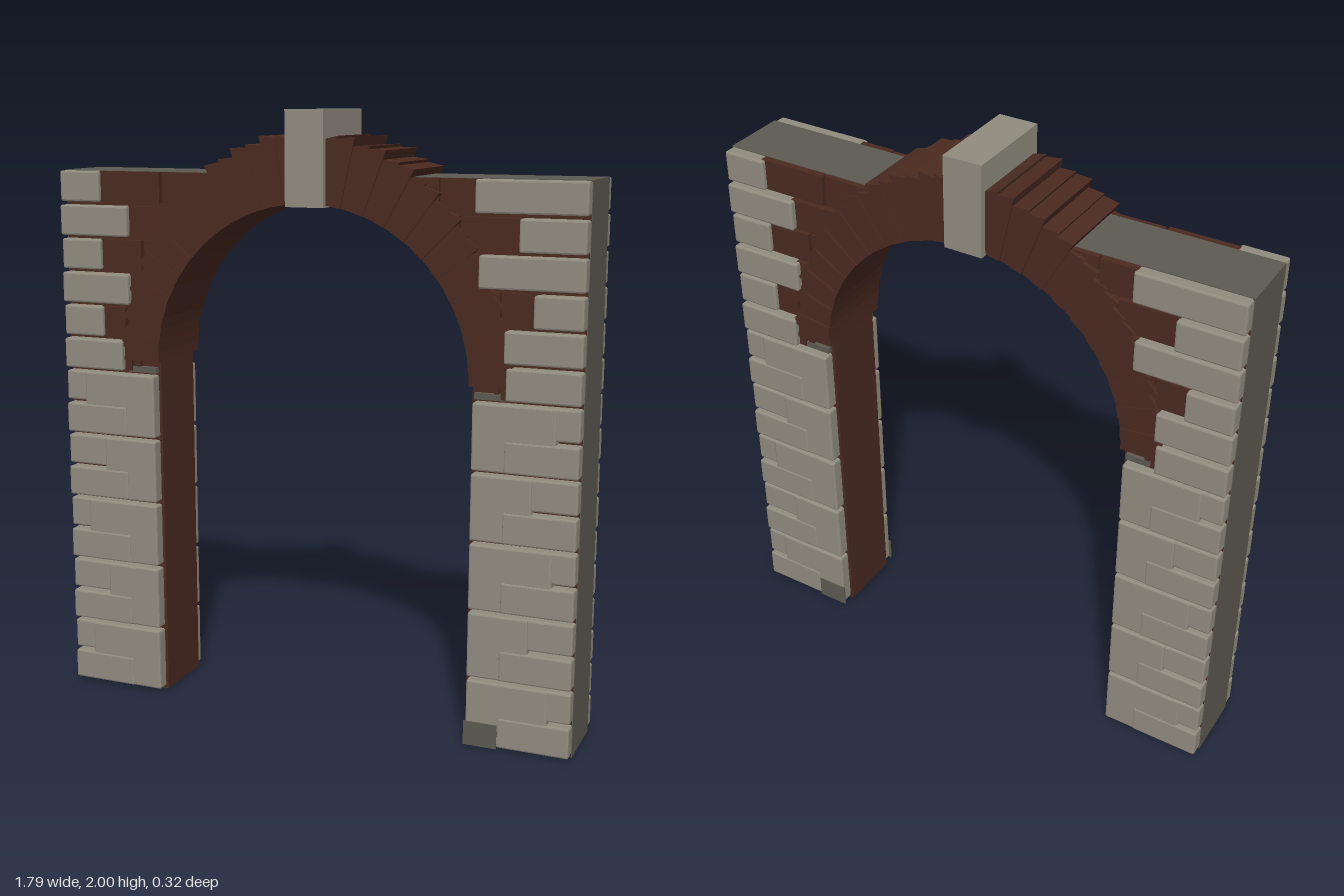
import * as THREE from 'three';
import { RoundedBoxGeometry } from 'three/addons/geometries/RoundedBoxGeometry.js';

const mat = (name, color) => Object.assign(new THREE.MeshStandardMaterial({ color, flatShading: true }), { name });

export function createModel() {
  const stone = mat('pale stone', 0x918c7f);
  const brick = mat('brown brick', 0x4a2a20);
  const core = mat('dark grey render', 0x5c5a50);

  const model = new THREE.Group();
  model.name = 'stoneArchway';

  const HALF = 0.895, TOP = 1.8, SPRING = 1.17, ROW = 0.1125;

  // Box given by its limits, optionally with worn edges
  function block(parent, name, material, x0, x1, y0, y1, z0, z1, edge = 0) {
    const size = [x1 - x0, y1 - y0, z1 - z0];
    const geo = edge ? new RoundedBoxGeometry(...size, 1, edge) : new THREE.BoxGeometry(...size);
    const mesh = new THREE.Mesh(geo, material);
    mesh.name = name;
    mesh.position.set((x0 + x1) / 2, (y0 + y1) / 2, (z0 + z1) / 2);
    parent.add(mesh);
    return mesh;
  }

  function slab(parent, name, shape, depth) {
    const geo = new THREE.ExtrudeGeometry(shape, { depth, bevelEnabled: false, curveSegments: 32 });
    geo.translate(0, 0, -depth / 2);
    const mesh = new THREE.Mesh(geo, brick);
    mesh.name = name;
    parent.add(mesh);
  }

  // Wall with the arched opening
  const wall = new THREE.Shape();
  wall.moveTo(-HALF + 0.003, 0.003);
  wall.lineTo(-0.545, 0.003);
  wall.lineTo(-0.545, SPRING);
  wall.absarc(0, SPRING, 0.545, Math.PI, 0, true);
  wall.lineTo(0.545, 0.003);
  wall.lineTo(HALF - 0.003, 0.003);
  wall.lineTo(HALF - 0.003, TOP - 0.003);
  wall.lineTo(-HALF + 0.003, TOP - 0.003);
  slab(model, 'wall', wall, 0.226);

  // Grey render on the outer ends, top and feet
  for (const s of [-1, 1]) {
    const span = (a, b) => (s > 0 ? [a, b] : [-b, -a]);
    block(model, 'endRender', core, ...span(HALF - 0.005, HALF), 0, TOP, -0.11, 0.11);
    block(model, 'topRender', core, ...span(0.335, HALF), TOP - 0.005, TOP, -0.11, 0.11);
    block(model, 'footRender', core, ...span(0.55, HALF), 0, 0.005, -0.11, 0.11);
  }

  // Arch ring of stepped bricks, thicker towards the crown
  const ring = new THREE.Group();
  ring.name = 'archRing';
  const COUNT = 22, INNER = 0.54;
  const outer = (a) => 0.66 + 0.085 * Math.sin(a) ** 3;
  for (const s of [-1, 1]) {
    for (let i = 0; i < COUNT; i++) {
      const a0 = (i / COUNT) * Math.PI / 2, a1 = ((i + 1) / COUNT) * Math.PI / 2;
      const long = i % 2 ? 0.01 : 0;
      const point = (r, a) => new THREE.Vector2(s * r * Math.cos(a), SPRING + r * Math.sin(a));
      const wedge = new THREE.Shape([
        point(INNER, a0), point(outer(a0) + 0.016 + long, a0),
        point(outer(a1) - 0.004 + long, a1), point(INNER, a1),
      ]);
      slab(ring, 'archBrick', wedge, i % 2 ? 0.288 : 0.28);
    }
  }
  model.add(ring);

  // Keystone
  block(model, 'keystone', stone, -0.065, 0.065, 1.7, 2, -0.16, 0.16);

  // Facing of one side: inner ends of the upper corner stones, from the top down
  const upper = { left: [0.745, 0.64, 0.745, 0.64, 0.745, 0.67], right: [0.55, 0.69, 0.565, 0.74, 0.65, 0.66] };

  function facing() {
    const face = new THREE.Group();
    for (const s of [-1, 1]) {
      const add = (name, m, a, b, y0, y1, z, edge) =>
        block(face, name, m, s > 0 ? a : -b, s > 0 ? b : -a, y0, y1, 0.105, z, edge);
      const ends = s < 0 ? upper.left : upper.right;

      for (let row = 0; row < 16; row++) {
        const y0 = row * ROW + 0.01, y1 = (row + 1) * ROW - 0.002;
        const z = row % 2 ? 0.15 : 0.156;
        if (row < 10) {
          // Corner stones of the pier
          add('cornerStone', stone, row % 2 ? 0.745 : 0.66, HALF - 0.002, y0, y1, z, 0.006);
          // Large inner stones, two rows high
          if (row % 2 === 0)
            add('pierStone', stone, 0.555, row % 4 ? 0.75 : 0.82, y0, y0 + 2 * ROW - 0.012, 0.153, 0.006);
        } else {
          const end = ends[15 - row];
          add('cornerStone', stone, end, HALF - 0.002, y0, y1, z, 0.006);
          // Brick fill between corner stones and arch ring
          const rise = y1 - SPRING;
          const inner = Math.sqrt(Math.max(0, 0.62 ** 2 - Math.max(0, rise) ** 2));
          const start = Math.max(inner, 0.34);
          const mid = start + (end - start) * 0.45;
          if (end - start > 0.03) {
            add('fillBrick', brick, start, mid - 0.004, y0, y1, 0.128);
            add('fillBrick', brick, mid + 0.004, end + 0.015, y0, y1, 0.135);
          }
        }
      }
      // Shadow joint below the springing
      add('springJoint', core, 0.555, 0.66, 1.13, 1.15, 0.13);
    }
    return face;
  }

  const front = facing();
  front.name = 'frontFacing';
  const back = facing();
  back.name = 'backFacing';
  back.rotation.y = Math.PI;
  model.add(front, back);

  // Dark foot stones on the left pier
  for (const s of [-1, 1])
    block(model, 'footStone', core, 0.55, 0.66, 0.005, 0.085, s * 0.154 - 0.003, s * 0.154 + 0.003);

  return model;
}
